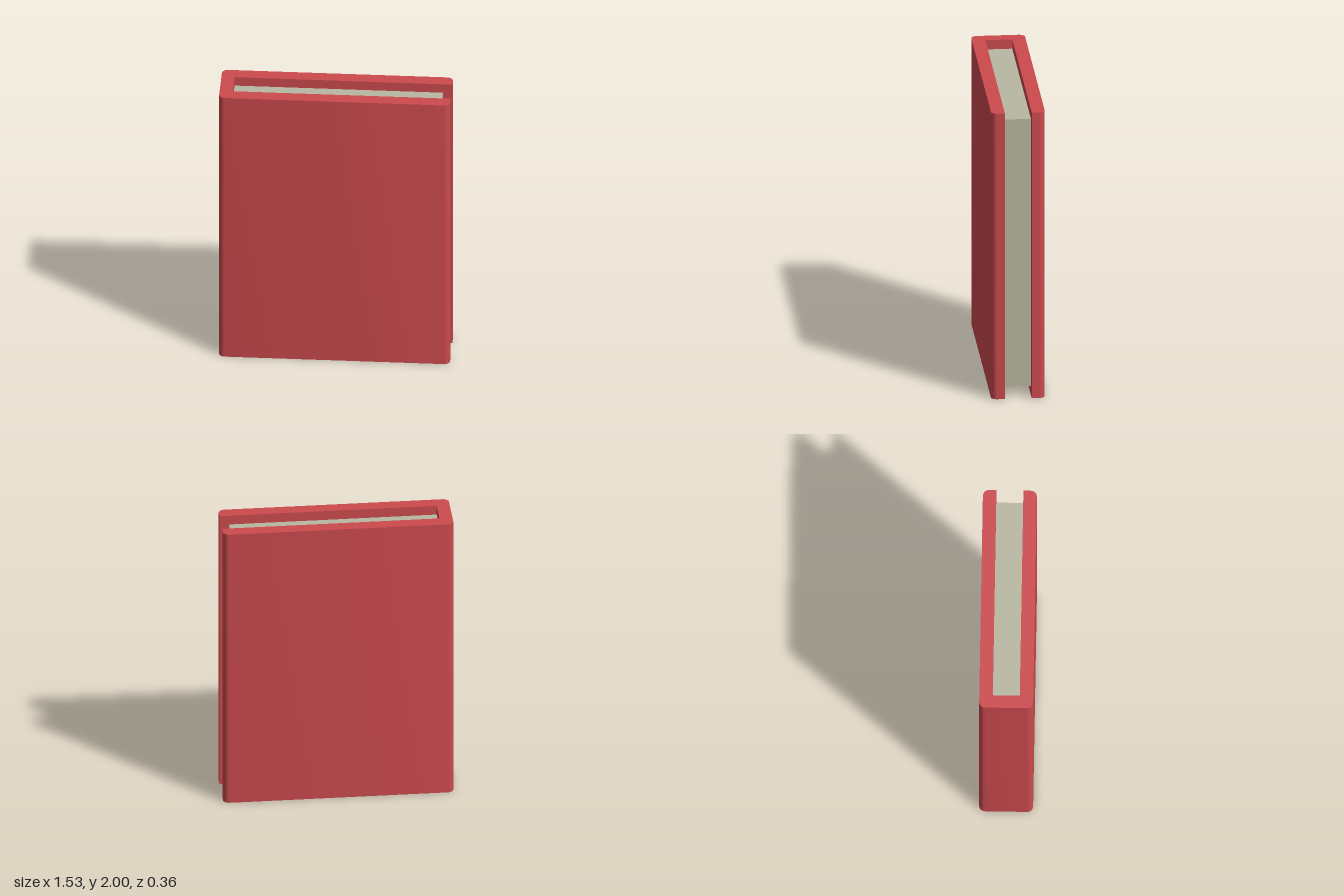
import * as THREE from 'three';
import { toCreasedNormals } from 'three/addons/utils/BufferGeometryUtils.js';

const HX = 0.763;      // half width of the cover
const HZ = 0.178;      // half thickness of the book
const IN_Z = 0.089;    // half thickness of the page block
const IN_X = -0.676;   // inner face of the spine
const R = 0.04;        // outer corner radius
const HEIGHT = 2;

export function createModel() {
  const book = new THREE.Group();
  book.name = 'book';

  // Cover: one C-shaped section (front board, spine, back board) with rounded outer corners
  const section = new THREE.Shape();
  section.moveTo(IN_X, -IN_Z);
  section.lineTo(IN_X, IN_Z);
  section.lineTo(HX, IN_Z);
  section.absarc(HX - R, HZ - R, R, 0, Math.PI / 2, false);
  section.absarc(-HX + R, HZ - R, R, Math.PI / 2, Math.PI, false);
  section.absarc(-HX + R, -HZ + R, R, Math.PI, Math.PI * 1.5, false);
  section.absarc(HX - R, -HZ + R, R, Math.PI * 1.5, Math.PI * 2, false);
  section.lineTo(HX, -IN_Z);
  section.closePath();

  const coverGeometry = new THREE.ExtrudeGeometry(section, {
    depth: HEIGHT, bevelEnabled: false, curveSegments: 6,
  });
  coverGeometry.rotateX(-Math.PI / 2);
  const cover = new THREE.Mesh(
    toCreasedNormals(coverGeometry, 0.6),
    new THREE.MeshStandardMaterial({ color: 0xcc4a4e }),
  );
  cover.name = 'cover';
  book.add(cover);

  // Pages: a block set back from the top, bottom and fore edge of the cover
  const pageEnd = 0.7;
  const pages = new THREE.Mesh(
    new THREE.BoxGeometry(pageEnd - IN_X, 1.87, IN_Z * 2),
    new THREE.MeshStandardMaterial({ color: 0xb8b8a2 }),
  );
  pages.name = 'pages';
  pages.position.set((pageEnd + IN_X) / 2, HEIGHT / 2, 0);
  book.add(pages);

  return book;
}
